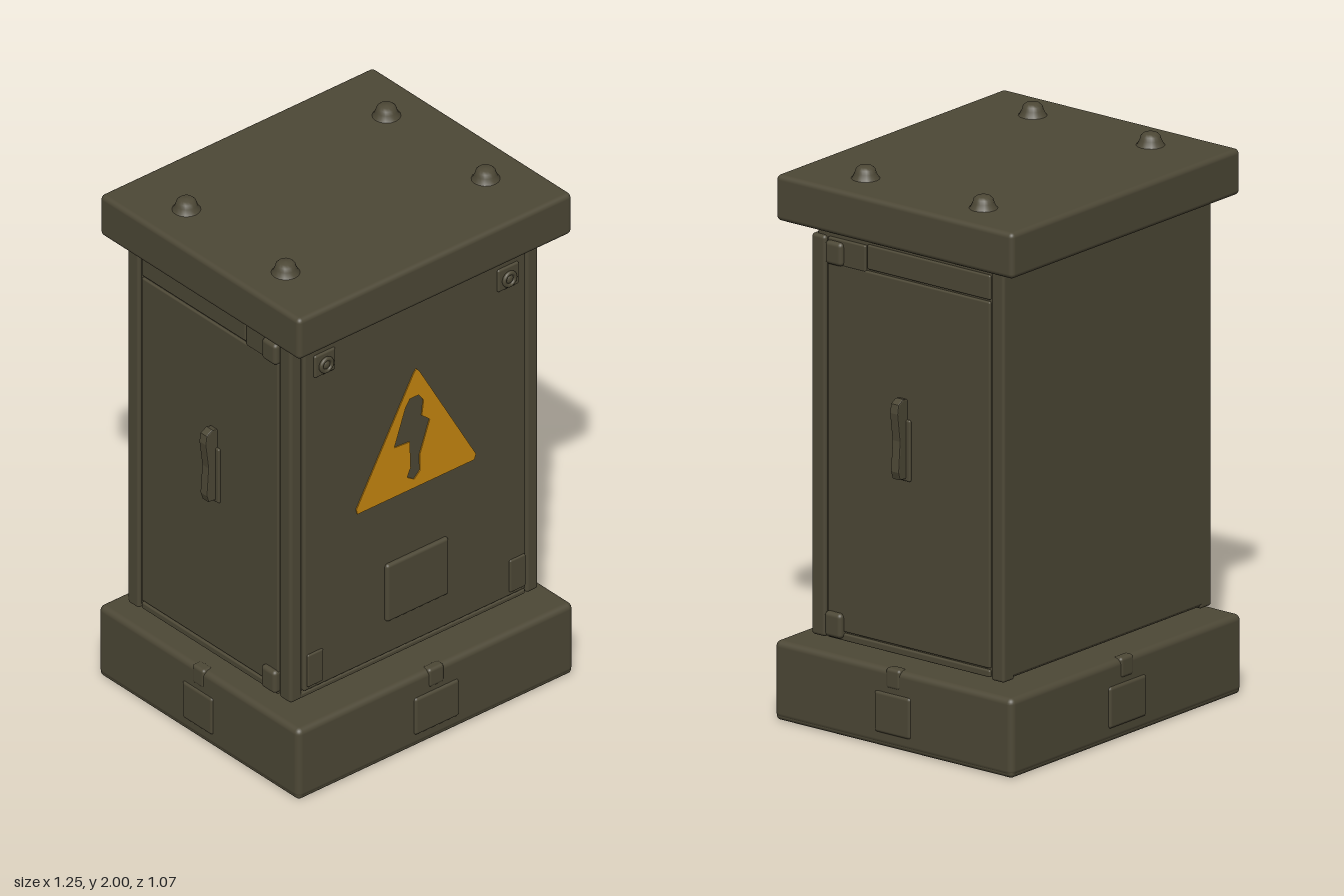
import * as THREE from 'three';
import { RoundedBoxGeometry } from 'three/addons/geometries/RoundedBoxGeometry.js';

export function createModel() {
  const root = new THREE.Group();
  root.name = 'electricalCabinet';

  const olive = new THREE.MeshStandardMaterial({ color: 0x4d4836 });
  olive.name = 'olive paint';
  const yellow = new THREE.MeshStandardMaterial({ color: 0xc8870f });
  yellow.name = 'warning yellow';

  const add = (name, geometry, material = olive, parent = root) => {
    const mesh = new THREE.Mesh(geometry, material);
    mesh.name = name;
    parent.add(mesh);
    return mesh;
  };
  // Soft-edged box given by its extents
  const block = (name, [x0, x1], [y0, y1], [z0, z1], r = 0.01) => {
    const mesh = add(name, new RoundedBoxGeometry(x1 - x0, y1 - y0, z1 - z0, 3, r));
    mesh.position.set((x0 + x1) / 2, (y0 + y1) / 2, (z0 + z1) / 2);
    return mesh;
  };
  // Extent mirrored to the side s = 1 or -1
  const side = (s, a, b) => (s > 0 ? [a, b] : [-b, -a]);
  const shapeOf = pts => new THREE.Shape(pts.map(p => new THREE.Vector2(...p)));

  // Plinth, separated from the body by a narrow gap
  block('plinth', [-0.62, 0.62], [0.005, 0.285], [-0.525, 0.525], 0.022);
  block('plinthFoot', [-0.617, 0.617], [0, 0.06], [-0.522, 0.522], 0.015);

  // Lid
  block('lid', [-0.615, 0.615], [1.79, 1.955], [-0.523, 0.523], 0.018);

  // Body
  block('bodyCore', [-0.545, 0.545], [0.318, 1.8], [-0.436, 0.395]);
  block('frontDoor', [-0.502, 0.497], [0.343, 1.755], [0.36, 0.418]);
  block('doorSill', [-0.545, 0.5], [0.317, 0.336], [0.36, 0.41], 0.006);
  block('backPanel', [-0.53, 0.53], [0.325, 1.795], [-0.44, -0.4], 0.008);

  // Domed bolt caps on the lid
  const capProfile = [[0.052, 0], [0.046, 0.006], [0.038, 0.022], [0.034, 0.036], [0.024, 0.045], [0, 0.047]]
    .map(p => new THREE.Vector2(...p));
  const capGeometry = new THREE.LatheGeometry(capProfile, 16);

  for (const s of [-1, 1]) {
    // Corner posts and side panels
    block('frontPost', side(s, 0.504, 0.558), [0.315, 1.755], [0.35, 0.412], 0.012);
    block('backPost', side(s, 0.5, 0.56), [0.312, 1.79], [-0.44, -0.383], 0.01);
    block('sidePanel', side(s, 0.52, 0.555), [0.35, 1.665], [-0.374, 0.342], 0.006);
    block('sidePanelTop', side(s, 0.52, 0.554), [1.672, 1.76], [-0.374, 0.17], 0.006);
    block('sidePanelCorner', side(s, 0.52, 0.555), [1.66, 1.755], [0.175, 0.342], 0.006);
    block('sideSill', side(s, 0.51, 0.555), [0.318, 0.344], [-0.374, 0.342], 0.006);

    // Worn hinge lugs at the door corners
    block('upperLug', side(s, 0.53, 0.57), [1.66, 1.745], [0.27, 0.345], 0.015);
    block('lowerLug', side(s, 0.53, 0.573), [0.325, 0.415], [0.27, 0.345], 0.015);
    block('lowerDoorPad', side(s, 0.42, 0.49), [0.36, 0.49], [0.39, 0.425], 0.006);

    // Side handle: bowed grip on a backing plate
    block('handlePlate', side(s, 0.54, 0.564), [0.95, 1.17], [-0.028, 0.042], 0.006);
    const grip = shapeOf([[0.54, 0.96], [0.59, 0.965], [0.598, 0.99], [0.59, 1.1],
      [0.603, 1.2], [0.598, 1.23], [0.575, 1.243], [0.54, 1.235]].map(([x, y]) => [x - 0.54, y]));
    const handle = add('sideHandle', new THREE.ExtrudeGeometry(grip, {
      depth: 0.026, bevelEnabled: true, bevelThickness: 0.005, bevelSize: 0.004, bevelSegments: 2 }));
    handle.rotation.y = s > 0 ? 0 : Math.PI;
    handle.position.set(s * 0.54, 0, s > 0 ? -0.006 : 0.02);

    // Ring bolts on raised pads
    block('boltPad', side(s, 0.365, 0.46), [1.605, 1.695], [0.4, 0.426], 0.008);
    const ring = add('doorBoltRing', new THREE.TorusGeometry(0.024, 0.008, 10, 20));
    ring.position.set(s * 0.412, 1.645, 0.43);
    const head = add('doorBoltHead', new THREE.SphereGeometry(0.018, 14, 8));
    head.scale.z = 0.6;
    head.position.set(s * 0.412, 1.645, 0.426);

    // Small latches and shallow bulges around the plinth
    block('plinthSideBulge', side(s, 0.6, 0.627), [0.05, 0.2], [-0.08, 0.08], 0.012);
    block('plinthSideLatch', side(s, 0.58, 0.623), [0.215, 0.289], [-0.032, 0.032], 0.012);
    block('plinthEndBulge', [-0.1, 0.1], [0.05, 0.2], side(s, 0.5, 0.533), 0.012);
    block('plinthEndLatch', [-0.035, 0.035], [0.215, 0.289], side(s, 0.49, 0.529), 0.012);

    for (const z of [-0.26, 0.26]) {
      const cap = add('lidBolt', capGeometry);
      cap.position.set(s * 0.45, 1.953, z);
    }
  }

  // Name plate without lettering
  block('doorPlate', [-0.14, 0.14], [0.478, 0.71], [0.4, 0.432], 0.012);

  // Warning triangle with a cut-out lightning bolt
  const triangle = shapeOf([[-0.012, 1.438], [-0.27, 0.99], [-0.265, 0.97],
    [0.26, 0.97], [0.268, 0.99], [0.012, 1.438], [0, 1.45]]);
  triangle.holes.push(new THREE.Path([[-0.03, 1.34], [0.01, 1.34], [0.032, 1.31], [0.024, 1.25],
    [0.06, 1.22], [0.015, 1.095], [0.016, 1.03], [-0.01, 1.005], [-0.042, 1.025],
    [-0.026, 1.06], [-0.03, 1.165], [-0.1, 1.17], [-0.05, 1.31]].map(p => new THREE.Vector2(...p))));
  const sign = add('warningTriangle', new THREE.ExtrudeGeometry(triangle, { depth: 0.006, bevelEnabled: false }), yellow);
  sign.position.z = 0.416;

  return root;
}
